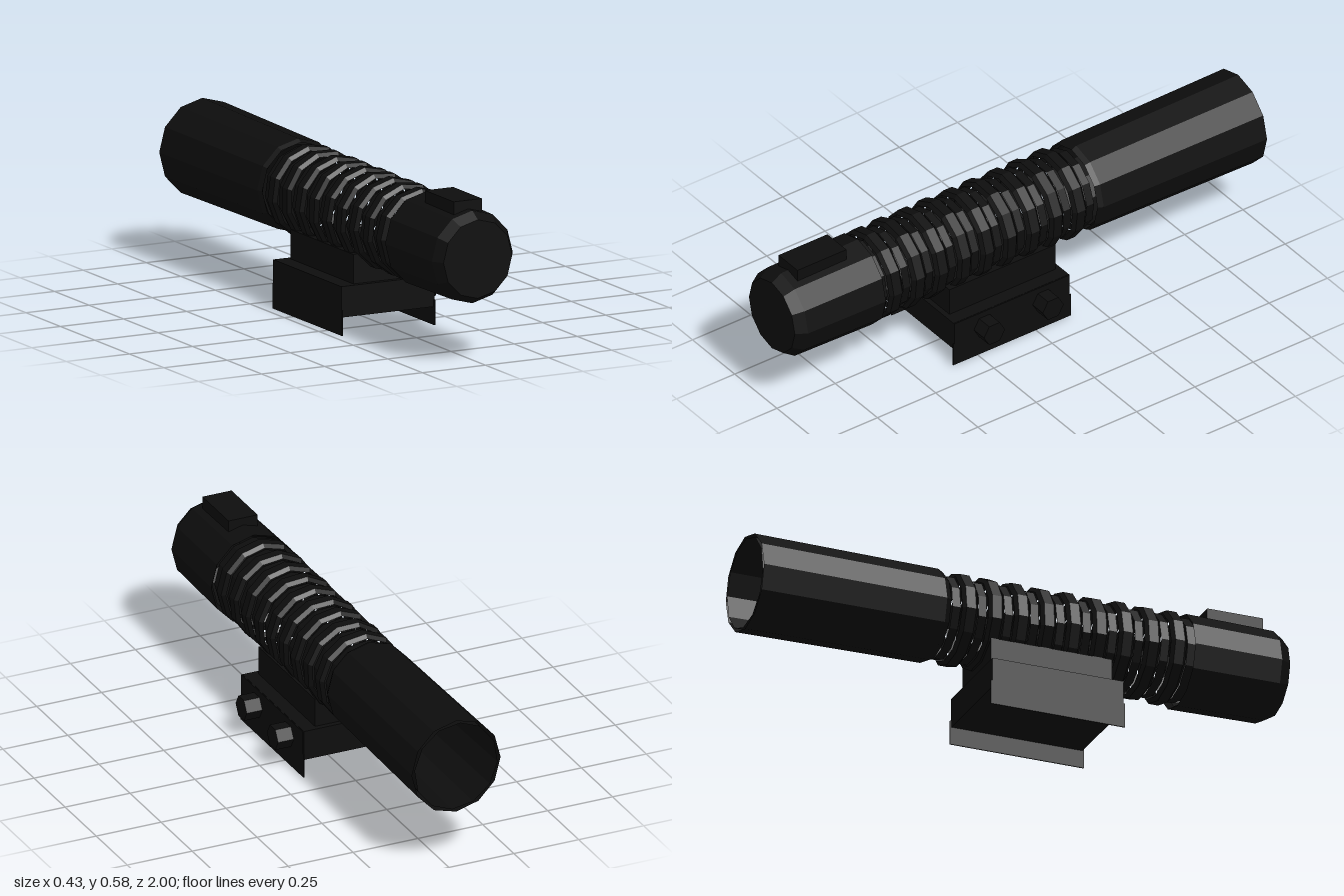
import * as THREE from 'three';

const AXIS_X = -0.03, AXIS_Y = 0.385;

export function createModel() {
  const group = new THREE.Group();
  const black = new THREE.MeshStandardMaterial({ color: 0x0d0d0d, flatShading: true, side: THREE.DoubleSide });
  black.name = 'matte black';

  const add = (name, geometry, x, y, z) => {
    const mesh = new THREE.Mesh(geometry, black);
    mesh.name = name;
    mesh.position.set(x, y, z);
    group.add(mesh);
    return mesh;
  };

  // Box given by its limits on each axis
  const box = (name, x0, x1, y0, y1, z0, z1) =>
    add(name, new THREE.BoxGeometry(x1 - x0, y1 - y0, z1 - z0), (x0 + x1) / 2, (y0 + y1) / 2, (z0 + z1) / 2);

  // Low-poly shell turned about the barrel axis; profile is [radius, z]
  const shell = (name, profile, turn = 0, dx = 0, dy = 0) => {
    const geometry = new THREE.LatheGeometry(profile.map(([r, z]) => new THREE.Vector2(r, z)), 12);
    geometry.rotateY(turn).rotateX(Math.PI / 2).scale(0.97, 1, 1);
    return add(name, geometry, AXIS_X + dx, AXIS_Y + dy, 0);
  };

  // Front cap with a closed, chamfered face and a button on top
  shell('frontCap', [[0.156, 0.65], [0.17, 0.63], [0.165, 0.96], [0.14, 1], [0, 1]], 0, 0, -0.004);
  box('button', -0.087, 0.025, 0.5, 0.577, 0.72, 0.93);

  // Ribbed grip: separate hollow ribs with narrow collars between them
  for (let i = 0; i < 9; i++) {
    const z = 0.575 - i * 0.0985;
    const turn = ((i * 5) % 9) * 0.03;
    shell('gripRib', [[0.153, z - 0.03], [0.167, z - 0.018], [0.167, z + 0.018], [0.153, z + 0.03]], turn);
    shell('gripCollar', [[0.15, z - 0.065], [0.15, z - 0.034]], turn);
  }
  shell('gripCollar', [[0.15, 0.609], [0.15, 0.645]]);

  // Flared rear tube with an open end and a separate inner liner
  shell('rearTube', [[0.158, -0.285], [0.168, -0.305], [0.176, -1]], 0, 0.002, 0.002);
  shell('rearLiner', [[0.15, -0.3], [0.165, -1]], 0.1, 0.002, 0.002);

  // Rail mount: neck, body and two thin side plates
  box('mountNeck', -0.157, 0.097, 0.17, 0.28, -0.125, 0.33);
  box('mountBody', -0.211, 0.149, 0.065, 0.175, -0.145, 0.35);
  for (const x of [-0.215, 0.15]) {
    box('sidePlate', x, x + 0.004, 0, 0.09, -0.15, 0.355);
    box('sidePlateUpper', x, x + 0.004, 0.09, 0.175, -0.145, 0.35);
  }

  // Hexagonal clamp bolts on the left side
  for (const z of [0.222, -0.03]) {
    const bolt = new THREE.CylinderGeometry(0.045, 0.045, 0.06, 6);
    bolt.rotateZ(Math.PI / 2);
    add('clampBolt', bolt, 0.185, 0.115, z);
  }

  return group;
}
